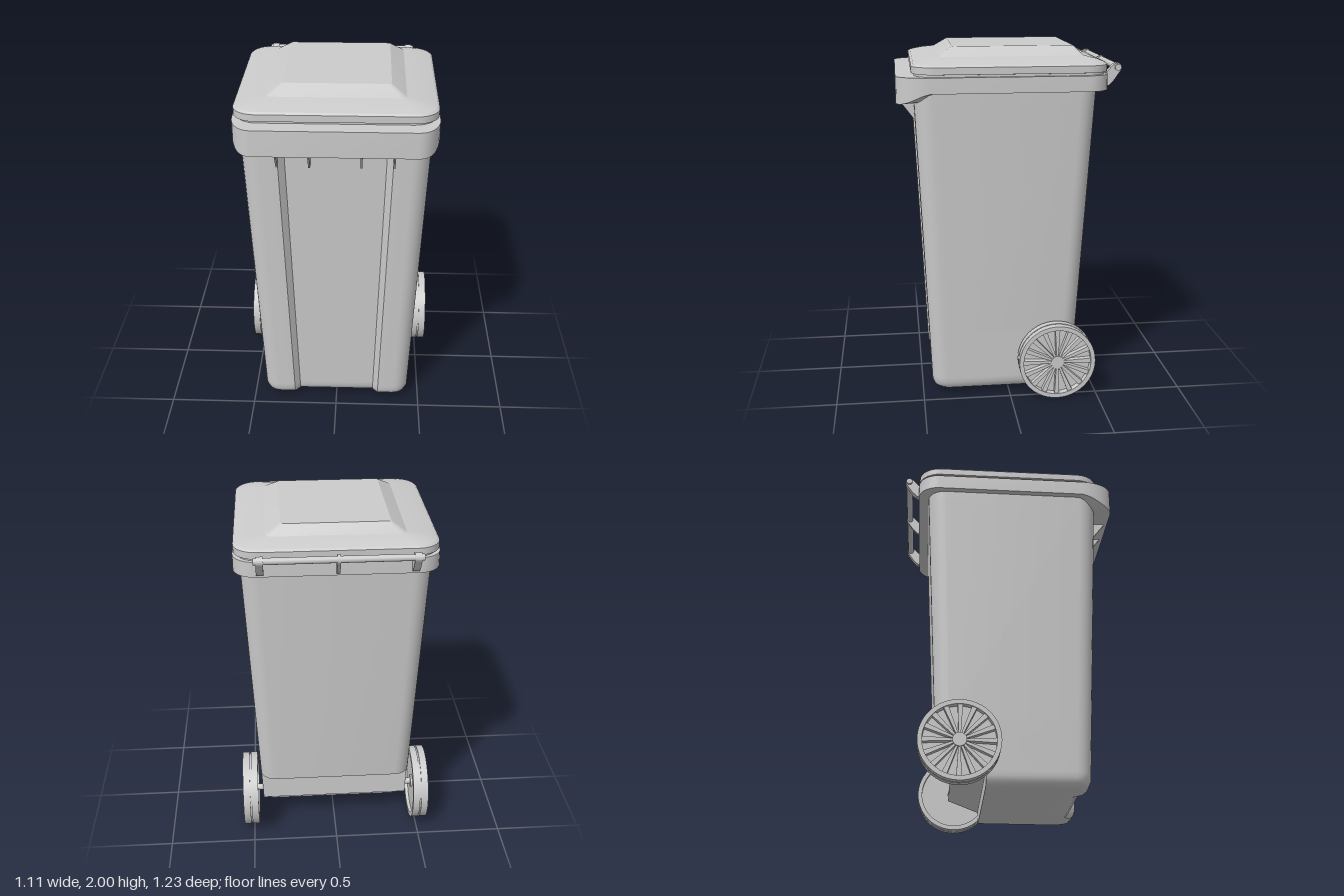
import * as THREE from 'three';
import { toCreasedNormals } from 'three/addons/utils/BufferGeometryUtils.js';

const grey = new THREE.MeshStandardMaterial({ color: 0xcccccc });
const { lerp, clamp, smoothstep } = THREE.MathUtils;

function add(parent, name, geometry, x = 0, y = 0, z = 0) {
  const mesh = new THREE.Mesh(geometry, grey);
  mesh.name = name;
  mesh.position.set(x, y, z);
  parent.add(mesh);
  return mesh;
}

// Rounded rectangle, counter-clockwise from above; front corners may be elliptical
function outline(y, hx, front, back, r, frontRx = r, frontRz = r, steps = 7) {
  const pts = [];
  const corner = (sx, sz, rx, rz, start) => {
    const cx = sx * (hx - rx), cz = (sz > 0 ? front : back) - sz * rz;
    for (let i = 0; i <= steps; i++) {
      const a = start + (i / steps) * Math.PI / 2;
      pts.push(new THREE.Vector3(cx + rx * Math.cos(a), y, cz - rz * Math.sin(a)));
    }
  };
  corner(1, 1, frontRx, frontRz, -Math.PI / 2);
  corner(1, -1, r, r, 0);
  corner(-1, -1, r, r, Math.PI / 2);
  corner(-1, 1, frontRx, frontRz, Math.PI);
  return pts;
}

// Skin joining rings from bottom to top, closed at both ends
function loft(rings, crease = 0.5) {
  const pos = [], n = rings[0].length;
  const tri = (...vs) => vs.forEach(v => pos.push(v.x, v.y, v.z));
  const centre = ring => ring.reduce((s, v) => s.add(v), new THREE.Vector3()).divideScalar(n);
  const first = rings[0], last = rings[rings.length - 1];
  const c0 = centre(first), c1 = centre(last);
  for (let i = 0; i < n; i++) {
    const j = (i + 1) % n;
    for (let k = 0; k < rings.length - 1; k++) {
      const a = rings[k], b = rings[k + 1];
      tri(a[i], a[j], b[j]);
      tri(a[i], b[j], b[i]);
    }
    tri(c0, first[j], first[i]);
    tri(c1, last[i], last[j]);
  }
  const g = new THREE.BufferGeometry();
  g.setAttribute('position', new THREE.Float32BufferAttribute(pos, 3));
  return toCreasedNormals(g, crease);
}

// Plate with a (z, y) side profile, centred across x
function plate(profile, width) {
  const shape = new THREE.Shape(profile.map(p => new THREE.Vector2(...p)));
  return new THREE.ExtrudeGeometry(shape, { depth: width, bevelEnabled: false })
    .translate(0, 0, -width / 2).rotateY(-Math.PI / 2);
}

// Tapered body section with front recess; nothing reaches further back than minZ
function bodyRing(y, inset = 0, minZ = -1, depth = 0.035) {
  const t = y / 1.75;
  const front = lerp(0.442, 0.52, t) - inset;
  const ring = outline(y, lerp(0.43, 0.508, t) - inset, front, lerp(-0.378, -0.475, t) + inset,
    lerp(0.085, 0.1, t) - inset * 0.5);
  const outer = lerp(0.25, 0.31, t), inner = lerp(0.22, 0.275, t);
  for (const [x, d] of [[-outer, 0], [-inner, depth], [inner, depth], [outer, 0]])
    ring.push(new THREE.Vector3(x, y, front - d));
  ring.forEach(p => { p.z = Math.max(p.z, minZ); });
  return ring;
}

function makeBody() {
  return loft([
    bodyRing(0.02, 0.05, -0.12), bodyRing(0.026, 0.028, -0.12), bodyRing(0.042, 0.01, -0.12),
    bodyRing(0.07, 0, -0.12), bodyRing(0.1, 0, -0.12),
    // stepped axle bay at the lower back
    bodyRing(0.17, 0, -0.3), bodyRing(0.38, 0, -0.3), bodyRing(0.38),
    bodyRing(1.72), bodyRing(1.72, 0, -1, 0), bodyRing(1.82, 0, -1, 0),
  ]);
}

// Collar whose lower edge drops into a lip at the front
function makeRim() {
  const outer = y => outline(y, 0.545, 0.615, -0.535, 0.12, 0.115, 0.18);
  const low = outer(1.775), under = outline(1.775, 0.49, 0.5, -0.46, 0.1);
  low.forEach((p, i) => {
    p.y -= 0.06 * smoothstep(p.z, 0.42, 0.61);
    under[i].y = p.y;
  });
  return loft([under, low, outer(1.86)]);
}

function makeLid() {
  return loft([
    outline(1.855, 0.525, 0.515, -0.52, 0.12),
    outline(1.872, 0.525, 0.515, -0.52, 0.12),
    outline(1.874, 0.54, 0.53, -0.533, 0.125),
    outline(1.912, 0.54, 0.53, -0.533, 0.125),
    outline(1.922, 0.528, 0.518, -0.521, 0.12),
    outline(1.937, 0.47, 0.46, -0.48, 0.09),
    outline(1.95, 0.37, 0.375, -0.42, 0.03),
    outline(2.0, 0.29, 0.3, -0.37, 0.012),
  ], 0.3);
}

function makeWheel() {
  const wheel = new THREE.Group();
  // tyre section as (radius, offset along axle), with a tread groove
  const section = [[0.195, -0.045], [0.22, -0.045], [0.22, -0.004], [0.212, -0.004], [0.212, 0.004],
    [0.22, 0.004], [0.22, 0.045], [0.195, 0.045], [0.195, -0.045]].map(p => new THREE.Vector2(...p));
  const tyre = new THREE.LatheGeometry(section, 48).rotateZ(-Math.PI / 2);
  add(wheel, 'tyre', toCreasedNormals(tyre, 0.5));
  add(wheel, 'wheelDisc', new THREE.CylinderGeometry(0.2, 0.2, 0.03, 48).rotateZ(Math.PI / 2), -0.01);
  add(wheel, 'hub', new THREE.CylinderGeometry(0.038, 0.038, 0.08, 24).rotateZ(Math.PI / 2), 0.003);
  const count = 16;
  for (let i = 0; i < count; i++) {
    const spoke = plate([[-0.006, 0.03], [0.006, 0.03], [0.014, 0.198], [-0.014, 0.198]], 0.036);
    add(wheel, 'spoke', spoke, 0.018).rotation.x = (i / count) * Math.PI * 2;
  }
  return wheel;
}

export function createModel() {
  const bin = new THREE.Group();
  bin.name = 'wheeledBin';
  add(bin, 'body', makeBody());
  add(bin, 'rim', makeRim());
  add(bin, 'lid', makeLid());

  // Gussets below the front lip
  for (const x of [-0.31, -0.138, 0.138, 0.31])
    add(bin, 'lipGusset', plate([[0.47, 1.73], [0.5, 1.61], [0.518, 1.61], [0.6, 1.718], [0.6, 1.73]], 0.01), x);

  // Rear handle bar and hinge brackets
  add(bin, 'handleBar', new THREE.CylinderGeometry(0.018, 0.018, 0.87, 20).rotateZ(Math.PI / 2), 0, 1.89, -0.595);
  const bracket = [[-0.5, 1.79], [-0.5, 1.86], [-0.535, 1.865], [-0.57, 1.905]];
  for (let i = 0; i <= 6; i++) {
    const a = lerp(Math.PI * 0.45, Math.PI * 1.2, i / 6);
    bracket.push([-0.592 + 0.025 * Math.cos(a), 1.889 + 0.025 * Math.sin(a)]);
  }
  bracket.push([-0.575, 1.82], [-0.545, 1.79]);
  for (const [x, width] of [[-0.403, 0.038], [0, 0.018], [0.403, 0.038]])
    add(bin, 'handleBracket', plate(bracket, width), x);

  // Axle and mirrored wheels
  add(bin, 'axle', new THREE.CylinderGeometry(0.019, 0.019, 0.98, 20).rotateZ(Math.PI / 2), 0, 0.225, -0.265);
  for (const side of [-1, 1]) {
    const wheel = makeWheel();
    wheel.name = side > 0 ? 'leftWheel' : 'rightWheel';
    wheel.position.set(side * 0.512, 0.222, -0.265);
    if (side < 0) wheel.rotation.y = Math.PI;
    bin.add(wheel);
  }
  return bin;
}
